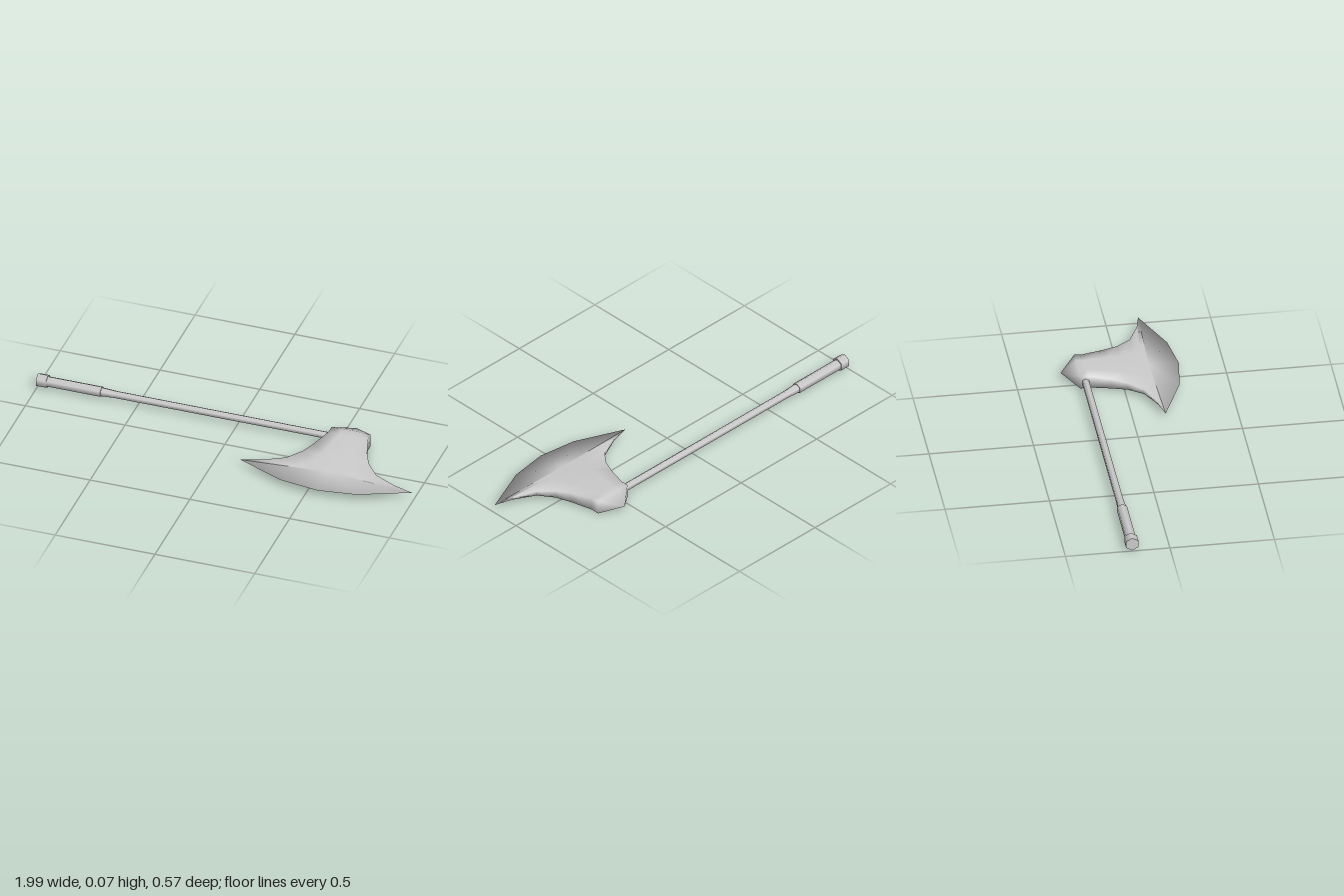
import * as THREE from 'three';
import { mergeVertices } from 'three/addons/utils/BufferGeometryUtils.js';

const HEAD_X = 0.56, MID_Y = 0.04, SHAFT_Z = -0.18;
const COLUMNS = [-1, -0.44, 0, 0.44, 1];

// Skins rows of [half width, z at middle, z at sides, half height at middle, half height at sides]
function skin(rows) {
  const pos = [];
  const point = (r, c, side) => {
    const [hw, zMid, zSide, hMid, hSide] = rows[r];
    const t = Math.abs(COLUMNS[c]);
    return [
      HEAD_X + COLUMNS[c] * hw,
      MID_Y + side * (hMid + (hSide - hMid) * t),
      zMid + (zSide - zMid) * t,
    ];
  };
  const quad = (a, b, c, d) => pos.push(...a, ...b, ...c, ...a, ...c, ...d);
  for (let r = 0; r < rows.length - 1; r++) {
    for (let c = 0; c < 4; c++) {
      quad(point(r, c, 1), point(r + 1, c, 1), point(r + 1, c + 1, 1), point(r, c + 1, 1));
      quad(point(r, c, -1), point(r, c + 1, -1), point(r + 1, c + 1, -1), point(r + 1, c, -1));
    }
    // side walls
    quad(point(r, 4, -1), point(r, 4, 1), point(r + 1, 4, 1), point(r + 1, 4, -1));
    quad(point(r, 0, -1), point(r + 1, 0, -1), point(r + 1, 0, 1), point(r, 0, 1));
  }
  const geo = new THREE.BufferGeometry();
  geo.setAttribute('position', new THREE.Float32BufferAttribute(pos, 3));
  const smooth = mergeVertices(geo, 1e-4);
  smooth.computeVertexNormals();
  return smooth;
}

// Fans from the ridge centre, above and below, to a shared sharp edge
function bevel(edge, ridgeZ, ridgeH) {
  const pos = edge.flatMap(([x, z]) => [HEAD_X + x, MID_Y, z]);
  const top = edge.length, bottom = top + 1;
  pos.push(HEAD_X, MID_Y + ridgeH, ridgeZ, HEAD_X, MID_Y - ridgeH, ridgeZ);
  const index = [];
  for (let i = 0; i < edge.length - 1; i++) index.push(top, i, i + 1, bottom, i + 1, i);
  const geo = new THREE.BufferGeometry();
  geo.setAttribute('position', new THREE.Float32BufferAttribute(pos, 3));
  geo.setIndex(index);
  geo.computeVertexNormals();
  return geo;
}

export function createModel() {
  const group = new THREE.Group();
  const metal = new THREE.MeshStandardMaterial({ color: 0xcccccc });
  metal.name = 'light grey';

  const add = (name, geo) => {
    const mesh = new THREE.Mesh(geo, metal);
    mesh.name = name;
    group.add(mesh);
  };

  // Six-sided rod along x, with a corner pointing up
  const rod = (name, x0, x1, r0, r1, open) => {
    const geo = new THREE.CylinderGeometry(r0, r1, x1 - x0, 6, 1, open, Math.PI / 2);
    geo.rotateZ(Math.PI / 2); // top radius now lies towards -x
    geo.translate((x0 + x1) / 2, MID_Y, SHAFT_Z);
    add(name, geo);
  };
  rod('pommel', -1, -0.95, 0.034, 0.034, false);
  rod('grip', -0.95, -0.68, 0.027, 0.027, false);
  rod('shaftCollar', -0.68, -0.61, 0.023, 0.019, true);
  rod('shaft', -0.61, 0.5, 0.019, 0.018, false);

  // Head body: pointed back, thick socket, flaring out to the blade
  add('headBody', skin([
    [0, -0.285, -0.285, 0, 0],
    [0.097, -0.205, -0.205, 0.037, 0.034],
    [0.099, -0.165, -0.165, 0.033, 0.031],
    [0.132, -0.06, -0.06, 0.031, 0.026],
    [0.165, 0.01, 0.01, 0.025, 0.019],
    [0.225, 0.075, 0.08, 0.02, 0.012],
    [0.335, 0.11, 0.13, 0.016, 0.006],
    [0.432, 0.135, 0.152, 0.014, 0],
  ]));

  // Bevelled cutting edge
  const edge = [[-0.432, 0.152], [-0.19, 0.255], [0, 0.282], [0.19, 0.255], [0.432, 0.152]];
  add('cuttingEdge', bevel(edge, 0.135, 0.014));

  return group;
}
